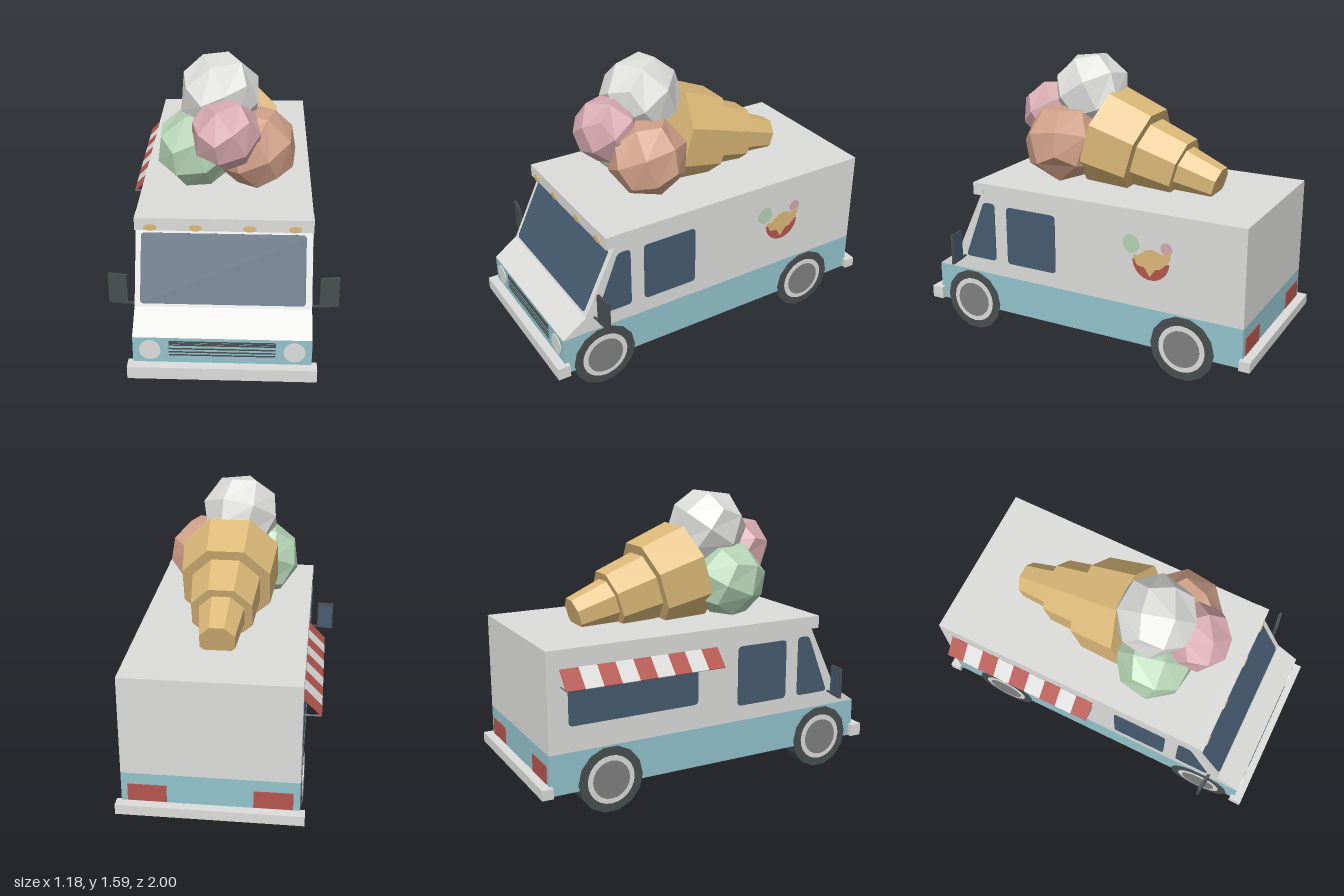
import * as THREE from 'three';

const material = (name, color) => {
  const m = new THREE.MeshStandardMaterial({ color, side: THREE.DoubleSide, flatShading: true });
  m.name = name;
  return m;
};
const MAT = {
  white: material('offWhite', 0xdcdcda),
  teal: material('teal', 0x92c3cc),
  glass: material('glassBlue', 0x465b70),
  wafer: material('waferYellow', 0xdcb978),
  brown: material('caramel', 0xd0a088),
  green: material('mint', 0xb4d3b4),
  pink: material('strawberry', 0xd5a8ae),
  dark: material('darkRubber', 0x484e4f),
  grey: material('midGrey', 0x808080),
  red: material('red', 0xb5554e),
};
const W = 0.453; // half width of the body

function add(parent, name, geometry, mat, x = 0, y = 0, z = 0) {
  const mesh = new THREE.Mesh(geometry, mat);
  mesh.name = name;
  mesh.position.set(x, y, z);
  parent.add(mesh);
  return mesh;
}
const box = (w, h, d) => new THREE.BoxGeometry(w, h, d);

// Polygon with its corners rounded by r
function outline(points, r = 0) {
  const p = points.map(([x, y]) => new THREE.Vector2(x, y));
  if (!r) return new THREE.Shape(p);
  const s = new THREE.Shape();
  p.forEach((c, i) => {
    const prev = p[(i + p.length - 1) % p.length], next = p[(i + 1) % p.length];
    const a = c.clone().add(prev.clone().sub(c).setLength(r));
    const b = c.clone().add(next.clone().sub(c).setLength(r));
    if (i) s.lineTo(a.x, a.y); else s.moveTo(a.x, a.y);
    s.quadraticCurveTo(c.x, c.y, b.x, b.y);
  });
  s.closePath();
  return s;
}
const rect = (x0, y0, x1, y1) => [[x0, y0], [x1, y0], [x1, y1], [x0, y1]];
function ellipse(cx, cy, rx, ry) {
  const s = new THREE.Shape();
  s.absellipse(cx, cy, rx, ry, 0, Math.PI * 2);
  return s;
}
const plate = (shape, depth = 0.008) =>
  new THREE.ExtrudeGeometry(shape, { depth, bevelEnabled: false, curveSegments: 10 }).translate(0, 0, -depth / 2);

// Places a geometry drawn in (z, y) on the left (+1) or right (-1) side
const toSide = (geometry, side, x = W) => geometry.rotateY(side * Math.PI / 2).translate(side * x, 0, 0);
const sidePoints = (points, side) => points.map(([z, y]) => [-side * z, y]);

// Panels spanning the body width along a (z, y) path
function strip(path) {
  const pos = [], index = [];
  path.forEach(([z, y]) => pos.push(-W, y, z, W, y, z));
  for (let i = 0; i < path.length - 1; i++) {
    const a = i * 2;
    index.push(a, a + 1, a + 3, a, a + 3, a + 2);
  }
  const g = new THREE.BufferGeometry();
  g.setAttribute('position', new THREE.Float32BufferAttribute(pos, 3));
  g.setIndex(index);
  const flat = g.toNonIndexed();
  flat.computeVertexNormals();
  return flat;
}

function buildBody(g) {
  const upper = [[0.95, 0.363], [0.815, 0.458], [0.635, 0.83], [0.635, 0.9], [-0.95, 0.9], [-0.95, 0.363]];
  add(g, 'upperBodyShell', strip(upper), MAT.white);
  add(g, 'lowerFrontPanel', strip([[0.95, 0.145], [0.95, 0.363]]), MAT.teal);
  add(g, 'lowerBackPanel', strip([[-0.95, 0.363], [-0.95, 0.145]]), MAT.teal);
  add(g, 'roofVisor', box(W * 2 + 0.004, 0.07, 0.07), MAT.white, 0, 0.865, 0.648);
  add(g, 'frontBumper', box(0.96, 0.07, 0.07), MAT.white, 0, 0.18, 0.965);
  add(g, 'rearBumper', box(0.96, 0.055, 0.06), MAT.white, 0, 0.1725, -0.97);
  const quarter = [[0.752, 0.45], [0.545, 0.45], [0.545, 0.79], [0.618, 0.79]];
  for (const side of [1, -1]) {
    const wall = (pts) => toSide(new THREE.ShapeGeometry(outline(sidePoints(pts, side))), side);
    add(g, 'upperSideWall', wall(upper), MAT.white);
    add(g, 'lowerSideWall', wall(rect(-0.95, 0.145, 0.95, 0.363)), MAT.teal);
    const pane = (pts) => toSide(plate(outline(sidePoints(pts, side), 0.025)), side);
    add(g, 'quarterWindow', pane(quarter), MAT.glass);
    add(g, 'doorWindow', pane(rect(0.15, 0.45, 0.465, 0.785)), MAT.glass);
    if (side < 0) add(g, 'servingWindow', pane(rect(-0.84, 0.5, -0.1, 0.78)), MAT.glass);
  }
  // Sloped windshield
  const shield = add(g, 'windshield', plate(outline(rect(-0.425, 0.016, 0.42, 0.378), 0.02)), MAT.glass, 0, 0.458, 0.815);
  shield.rotation.x = -Math.atan2(0.18, 0.372);
}

function buildLights(g) {
  for (const x of [-0.375, -0.145, 0.13, 0.36])
    add(g, 'roofLight', plate(ellipse(x, 0.848, 0.033, 0.018)), MAT.wafer, 0, 0, 0.684);
  for (const s of [1, -1]) {
    add(g, 'headlight', plate(ellipse(s * 0.365, 0.29, 0.055, 0.057)), MAT.white, 0, 0, 0.951);
    add(g, 'tailLight', plate(outline(rect(s * 0.22, 0.205, s * 0.42, 0.3))), MAT.red, 0, 0, -0.951);
  }
  for (const y of [0.262, 0.28, 0.3, 0.322, 0.332, 0.342])
    add(g, 'grilleBar', box(0.54, 0.006, 0.006), MAT.dark, 0, y, 0.951);
}

function buildWheels(g) {
  const disc = (r, w, n) => new THREE.CylinderGeometry(r, r, w, n).rotateZ(Math.PI / 2);
  for (const side of [1, -1]) for (const z of [0.715, -0.615]) {
    const wheel = new THREE.Group();
    wheel.name = 'wheel';
    wheel.position.set(side * 0.4, 0.1765, z);
    add(wheel, 'tire', disc(0.181, 0.116, 14), MAT.dark);
    add(wheel, 'rim', disc(0.132, 0.01, 24), MAT.white, side * 0.056);
    add(wheel, 'hub', disc(0.104, 0.01, 20), MAT.grey, side * 0.059);
    add(wheel, 'innerDisc', disc(0.15, 0.01, 14), MAT.grey, -side * 0.055);
    g.add(wheel);
  }
}

function buildMirrors(g) {
  for (const side of [1, -1]) {
    const mirror = new THREE.Group();
    mirror.name = 'sideMirror';
    mirror.position.set(side * 0.542, 0.525, 0.754);
    mirror.rotation.y = side * 0.13;
    add(mirror, 'mirrorHousing', box(0.1, 0.172, 0.014), MAT.dark);
    add(mirror, 'mirrorGlass', box(0.084, 0.15, 0.004), MAT.glass, 0, 0, -0.008);
    add(mirror, 'mirrorArm', box(0.06, 0.01, 0.01), MAT.dark, -side * 0.07, -0.08, 0);
    g.add(mirror);
  }
}

// Striped awning over the serving window
function buildAwning(g) {
  const step = 0.0995;
  for (let i = 0; i < 9; i++) {
    const stripe = add(g, 'awningStripe', box(0.125, 0.006, step), i % 2 ? MAT.white : MAT.red,
      -0.497, 0.755, -0.88 + step * (i + 0.5));
    stripe.rotation.z = Math.atan2(0.09, 0.087);
  }
  for (const z of [-0.875, 0.01]) add(g, 'awningArm', box(0.087, 0.006, 0.006), MAT.grey, -0.497, 0.71, z);
}

// Painted sundae on the left wall
function buildSundae(g) {
  const paint = (name, shape, mat, lift) => add(g, name, toSide(plate(shape, 0.004), 1, W + lift), mat);
  const bowl = new THREE.Shape();
  bowl.absarc(0.43, 0.632, 0.104, Math.PI, Math.PI * 2);
  paint('paintedMintScoop', ellipse(0.313, 0.712, 0.047, 0.052), MAT.green, 0.001);
  paint('paintedPinkScoop', ellipse(0.517, 0.715, 0.033, 0.033), MAT.pink, 0.001);
  paint('paintedBowl', bowl, MAT.red, 0.002);
  paint('paintedFruit', outline([[0.325, 0.655], [0.36, 0.655], [0.4, 0.69], [0.44, 0.7], [0.5, 0.68], [0.545, 0.705],
    [0.53, 0.64], [0.48, 0.595], [0.46, 0.595], [0.425, 0.545], [0.395, 0.595], [0.35, 0.6]], 0.008), MAT.wafer, 0.003);
}

function buildIceCream(g) {
  // Stepped eight-sided cone lying on the roof
  const cone = new THREE.Group();
  cone.name = 'waferCone';
  cone.position.set(0, 1.155, 0.073);
  cone.rotation.x = Math.atan2(-0.96, -0.28);
  const k = 1 / Math.cos(Math.PI / 8);
  for (const [s0, s1, r0, r1] of [[0, 0.268, 0.262, 0.236], [0.268, 0.5, 0.182, 0.16], [0.5, 0.717, 0.118, 0.091]])
    add(cone, 'coneSection', new THREE.CylinderGeometry(r1 * k, r0 * k, s1 - s0, 8, 1, false, Math.PI / 8), MAT.wafer,
      0, (s0 + s1) / 2, 0);
  g.add(cone);

  // Faceted scoops: a divided cube pushed out to a ball
  const scoops = [
    ['vanillaScoop', MAT.white, -0.04, 1.385, 0.19, 0.222, 0.5, 0.4, 0.2],
    ['strawberryScoop', MAT.pink, 0, 1.25, 0.415, 0.187, 0.4, 0.6, 0.3],
    ['mintScoop', MAT.green, -0.165, 1.105, 0.25, 0.217, 0.3, 0.3, 0.25],
    ['caramelScoop', MAT.brown, 0.155, 1.115, 0.265, 0.222, 0.35, -0.4, 0.5],
  ];
  for (const [name, mat, x, y, z, r, rx, ry, rz] of scoops) {
    const ball = new THREE.BoxGeometry(1, 1, 1, 2, 2, 2);
    const p = ball.attributes.position, v = new THREE.Vector3();
    for (let i = 0; i < p.count; i++) {
      v.fromBufferAttribute(p, i).setLength(r);
      p.setXYZ(i, v.x, v.y, v.z);
    }
    ball.computeVertexNormals();
    add(g, name, ball, mat, x, y, z).rotation.set(rx, ry, rz);
  }
}

export function createModel() {
  const model = new THREE.Group();
  model.name = 'iceCreamTruck';
  for (const build of [buildBody, buildLights, buildWheels, buildMirrors, buildAwning, buildSundae, buildIceCream]) {
    const part = new THREE.Group();
    part.name = build.name.replace('build', '').replace(/^./, (c) => c.toLowerCase());
    build(part);
    model.add(part);
  }
  return model;
}
